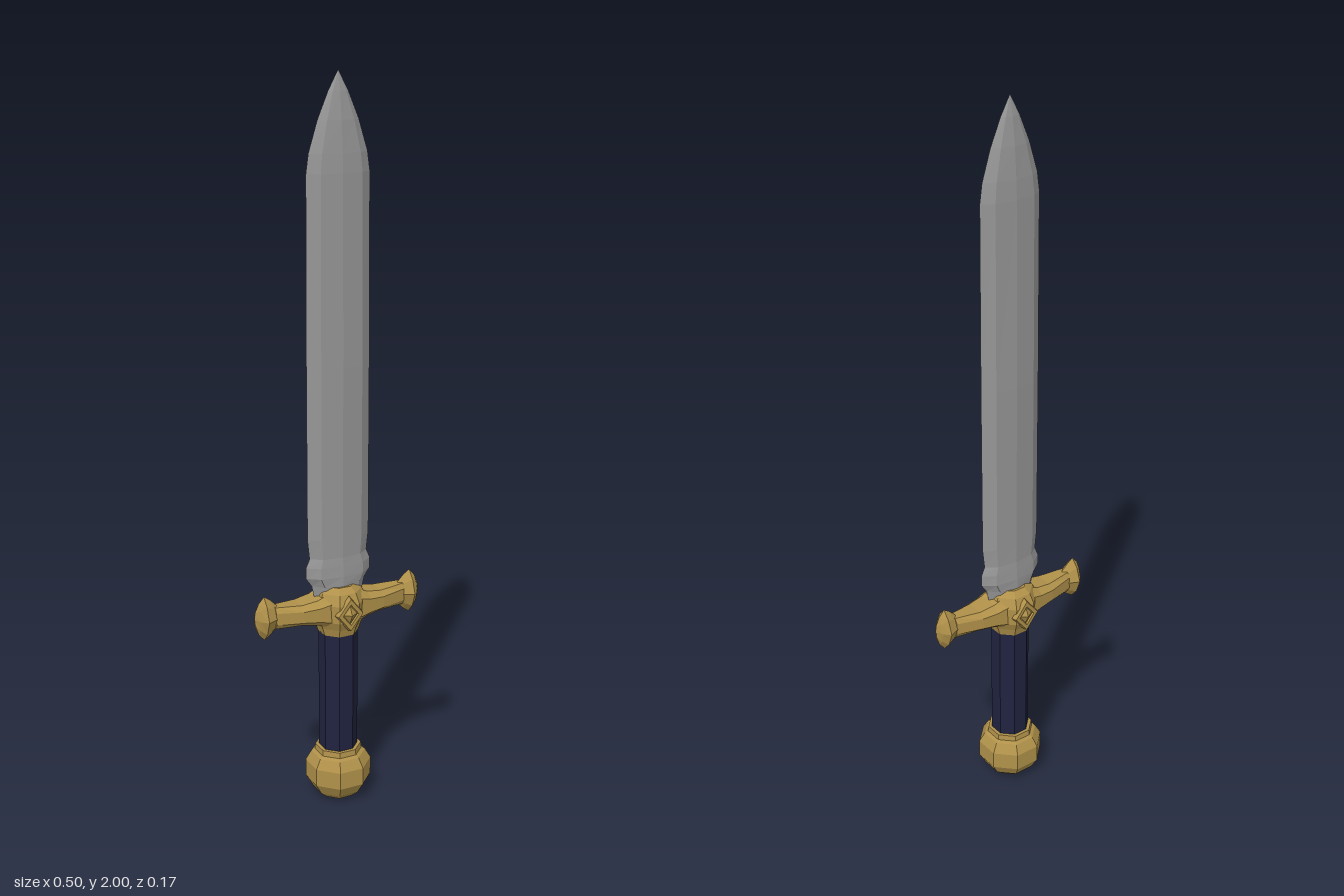
import * as THREE from 'three';

const mat = (name, color) => {
  const m = new THREE.MeshStandardMaterial({ color });
  m.name = name;
  return m;
};

// Skin a list of rings (arrays of Vector3, counter-clockwise about the path) with flat faces and end caps.
function loft(rings) {
  const pos = [];
  const tri = (...pts) => pts.forEach((p) => pos.push(p.x, p.y, p.z));
  const n = rings[0].length;
  for (let i = 0; i < rings.length - 1; i++) {
    for (let j = 0; j < n; j++) {
      const k = (j + 1) % n;
      const [a, b, c, d] = [rings[i][j], rings[i][k], rings[i + 1][k], rings[i + 1][j]];
      tri(a, b, c);
      tri(a, c, d);
    }
  }
  const first = rings[0], last = rings[rings.length - 1];
  for (let j = 1; j < n - 1; j++) {
    tri(first[0], first[j + 1], first[j]);
    tri(last[0], last[j], last[j + 1]);
  }
  const g = new THREE.BufferGeometry();
  g.setAttribute('position', new THREE.Float32BufferAttribute(pos, 3));
  g.computeVertexNormals();
  return g;
}

// Faceted turned shape with a flat side facing the front.
function turned(profile, sides) {
  const pts = profile.map(([r, y]) => new THREE.Vector2(r, y));
  const g = new THREE.LatheGeometry(pts, sides, Math.PI / sides).toNonIndexed();
  g.computeVertexNormals();
  return g;
}

export function createModel() {
  const sword = new THREE.Group();
  sword.name = 'sword';
  const steel = mat('steel', 0x969696);
  const gold = mat('gold', 0xb0914a);
  const navy = mat('navy leather', 0x20233f);
  const add = (name, geometry, material) => {
    const mesh = new THREE.Mesh(geometry, material);
    mesh.name = name;
    sword.add(mesh);
    return mesh;
  };

  // Blade: bevelled section with a centre ridge; [height, half width, half thickness]
  const bladeRows = [
    [0.6, 0.07, 0.03], [0.645, 0.08, 0.034], [0.67, 0.097, 0.034], [0.7, 0.097, 0.032],
    [0.725, 0.086, 0.03], [0.78, 0.092, 0.03], [1.25, 0.092, 0.03], [1.75, 0.09, 0.028],
    [1.8, 0.083, 0.026], [1.88, 0.058, 0.02], [1.95, 0.028, 0.011], [2, 0.0005, 0.0005],
  ];
  const section = [[0, 1], [0.65, 0.75], [1, 0], [0.65, -0.75], [0, -1], [-0.65, -0.75], [-1, 0], [-0.65, 0.75]];
  add('blade', loft(bladeRows.map(([y, w, t]) =>
    section.map(([u, v]) => new THREE.Vector3(u * w, y, v * t)))), steel);

  // Crossguard arms: chamfered bar; [x, centre height, half height, half depth]
  const half = [[0.03, 0.578, 0.055, 0.055], [0.075, 0.577, 0.036, 0.049], [0.12, 0.577, 0.029, 0.042], [0.195, 0.578, 0.031, 0.022]];
  const armRows = [...half.map(([x, ...r]) => [-x, ...r]).reverse(), ...half];
  const bar = [[1, 0.6], [0.55, 1], [-0.55, 1], [-1, 0.6], [-1, -0.6], [-0.55, -1], [0.55, -1], [1, -0.6]];
  add('crossguard', loft(armRows.map(([x, y, h, d]) =>
    bar.map(([u, v]) => new THREE.Vector3(x, y + u * h, v * d)))), gold);

  // Flared, pointed caps at the ends of the guard; [x, half height, half depth]
  const capRows = [[0.183, 0.03, 0.019], [0.205, 0.052, 0.028], [0.222, 0.063, 0.036], [0.238, 0.045, 0.019], [0.249, 0.02, 0.002]];
  const capRing = [[1, 0], [0.62, 0.6], [0, 1], [-0.62, 0.6], [-1, 0], [-0.62, -0.6], [0, -1], [0.62, -0.6]];
  const cap = loft(capRows.map(([x, h, d]) =>
    capRing.map(([u, v]) => new THREE.Vector3(x, u * h, v * d))));
  for (const [name, turn] of [['leftGuardCap', 0], ['rightGuardCap', Math.PI]]) {
    const mesh = add(name, cap, gold);
    mesh.position.y = 0.578;
    mesh.rotation.y = turn;
  }

  // Faceted block in the middle of the guard
  add('guardCentre', turned([[0, 0.503], [0.056, 0.503], [0.063, 0.525], [0.075, 0.55], [0.077, 0.6], [0.064, 0.628], [0.045, 0.643], [0, 0.635]], 8), gold);

  // Diamond studs on the front and back of the guard
  for (const side of [1, -1]) {
    const stud = new THREE.Group();
    stud.name = side > 0 ? 'frontStud' : 'backStud';
    const collar = new THREE.Mesh(turned([[0.052, 0], [0.046, 0.014], [0.03, 0.014], [0.026, 0.009]], 4), gold);
    const gem = new THREE.Mesh(turned([[0.028, 0.006], [0, 0.021]], 4), gold);
    collar.name = 'studCollar';
    gem.name = 'studPoint';
    for (const part of [collar, gem]) {
      part.rotation.y = Math.PI / 4;
      stud.add(part);
    }
    stud.rotation.x = side * Math.PI / 2;
    stud.scale.x = 0.8;
    stud.position.set(0, 0.575, side * 0.065);
    sword.add(stud);
  }

  // Grip
  add('grip', turned([[0.054, 0.14], [0.054, 0.515]], 8), navy);

  // Pommel
  add('pommel', turned([[0, 0], [0.05, 0.003], [0.072, 0.022], [0.092, 0.055], [0.092, 0.105], [0.076, 0.132], [0.066, 0.138], [0.064, 0.154], [0, 0.154]], 8), gold);

  return sword;
}
